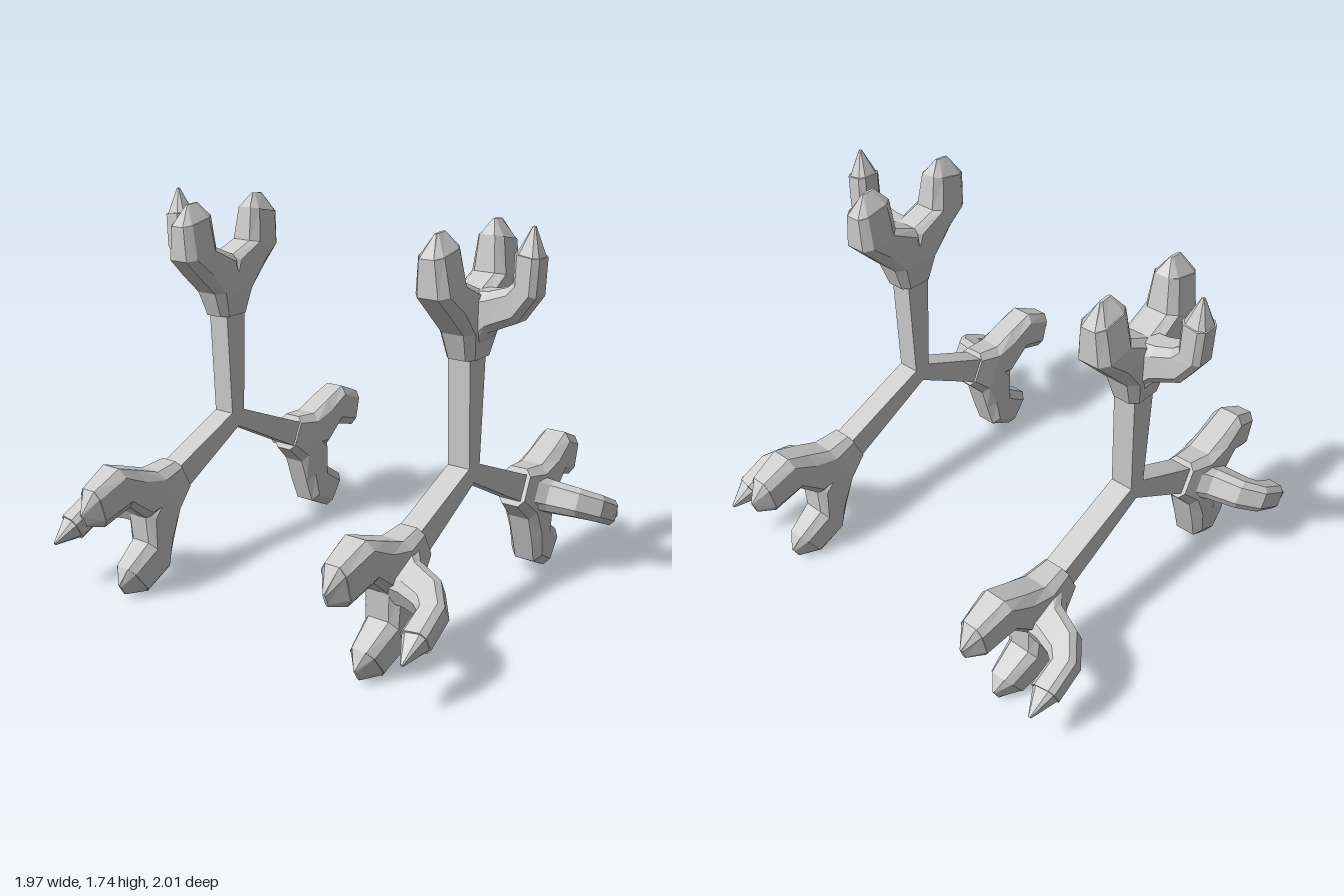
import * as THREE from 'three';

const material = new THREE.MeshStandardMaterial({ color: 0xcccccc, flatShading: true });

// Ring with cut corners: runs from a to b in a plane [p, r], spans d0..d1 in depth.
function ring([a, b, d0, d1], cut) {
  const at = (t, d) => [
    a[0] + (b[0] - a[0]) * t,
    a[1] + (b[1] - a[1]) * t,
    d0 + (d1 - d0) * d,
  ];
  if (!cut) return [at(0, 0), at(1, 0), at(1, 1), at(0, 1)];
  const c = cut, e = 1 - cut;
  return [at(c, 0), at(e, 0), at(1, c), at(1, e), at(e, 1), at(c, 1), at(0, e), at(0, c)];
}

// Closed solid through a list of rings; place() turns [p, r, d] into x, y, z.
function loft(name, sections, cut, place) {
  const rings = sections.map((s) => ring(s, cut).map((q) => new THREE.Vector3(...place(...q))));
  const n = rings[0].length;
  const tris = [];
  for (let i = 0; i < rings.length - 1; i++) {
    for (let j = 0; j < n; j++) {
      const k = (j + 1) % n;
      const [a, b, c, d] = [rings[i][j], rings[i][k], rings[i + 1][k], rings[i + 1][j]];
      tris.push([a, b, c], [a, c, d]);
    }
  }
  const last = rings[rings.length - 1];
  for (let j = 1; j < n - 1; j++) {
    tris.push([rings[0][0], rings[0][j + 1], rings[0][j]], [last[0], last[j], last[j + 1]]);
  }
  // Turn the faces outward whichever way place() mirrors them
  const origin = rings[0][0];
  let volume = 0;
  for (const t of tris) {
    const [a, b, c] = t.map((p) => p.clone().sub(origin));
    volume += a.dot(b.cross(c));
  }
  if (volume < 0) tris.forEach((t) => t.reverse());
  const geometry = new THREE.BufferGeometry().setFromPoints(tris.flat());
  geometry.computeVertexNormals();
  const mesh = new THREE.Mesh(geometry, material);
  mesh.name = name;
  return mesh;
}

// Side toe in the z-r plane, depth along x: palm half, bend, straight part, claw
const sideToe = [
  [[-0.07, 0.5], [0.088, 0.5], 0.59, 0.725],
  [[-0.07, 0.62], [0.13, 0.615], 0.575, 0.745],
  [[-0.03, 0.77], [0.225, 0.705], 0.575, 0.745],
  [[0.115, 0.83], [0.313, 0.79], 0.575, 0.735],
  [[0.137, 0.98], [0.318, 0.945], 0.59, 0.71],
];
const sideClaw = [
  [[0.137, 0.98], [0.318, 0.945], 0.595, 0.705],
  [[0.19, 1.04], [0.255, 1.035], 0.642, 0.655],
];
// Middle toe in the x-r plane, depth along z: grows outward, then bends up
const middleToe = [
  [[0.64, 0.78], [0.69, 0.51], -0.085, 0.085],
  [[0.77, 0.79], [0.772, 0.62], -0.074, 0.074],
  [[0.85, 0.815], [0.897, 0.675], -0.067, 0.067],
  [[0.875, 0.835], [0.977, 0.785], -0.063, 0.063],
  [[0.875, 0.955], [0.985, 0.94], -0.06, 0.06],
];
const middleClaw = [
  [[0.882, 0.955], [0.98, 0.94], -0.052, 0.052],
  [[0.932, 1.06], [0.944, 1.06], -0.006, 0.006],
];

// One leg along +y with a three-toed foot; shift shortens it
function makeLeg(side, shift) {
  const leg = new THREE.Group();
  leg.name = 'leg';
  leg.add(loft('shank', [
    [[-0.04, -0.02], [0.04, -0.02], 0.6, 0.705],
    [[-0.064, 0.54 + shift], [0.064, 0.54 + shift], 0.6, 0.705],
  ], 0, (p, r, d) => [side * d, r, p]));

  const foot = new THREE.Group();
  foot.name = 'foot';
  foot.position.y = shift;
  for (const m of [1, -1]) {
    const place = (p, r, d) => [side * d, r, m * p];
    foot.add(loft('sideToe', sideToe, 0.2, place), loft('sideClaw', sideClaw, 0.2, place));
  }
  const place = (p, r, d) => [side * p, r, d];
  foot.add(loft('middleToe', middleToe, 0.2, place), loft('middleClaw', middleClaw, 0.2, place));
  leg.add(foot);
  return leg;
}

export function createModel() {
  const model = new THREE.Group();
  model.name = 'leggedWheels';
  for (const side of [1, -1]) {
    const wheel = new THREE.Group();
    wheel.name = side > 0 ? 'leftWheel' : 'rightWheel';
    wheel.position.set(0, 0.7, 0.03);
    // Leg angle around the hub in degrees, and length change
    for (const [angle, shift] of [[0, 0], [116.5, -0.075], [-115, -0.01]]) {
      const leg = makeLeg(side, shift);
      leg.rotation.x = THREE.MathUtils.degToRad(angle);
      wheel.add(leg);
    }
    // Small hub where the legs meet
    const hub = new THREE.Mesh(new THREE.CylinderGeometry(0.05, 0.05, 0.104, 6), material);
    hub.name = 'hub';
    hub.rotation.z = Math.PI / 2;
    hub.position.x = side * 0.6525;
    wheel.add(hub);
    model.add(wheel);
  }
  return model;
}
